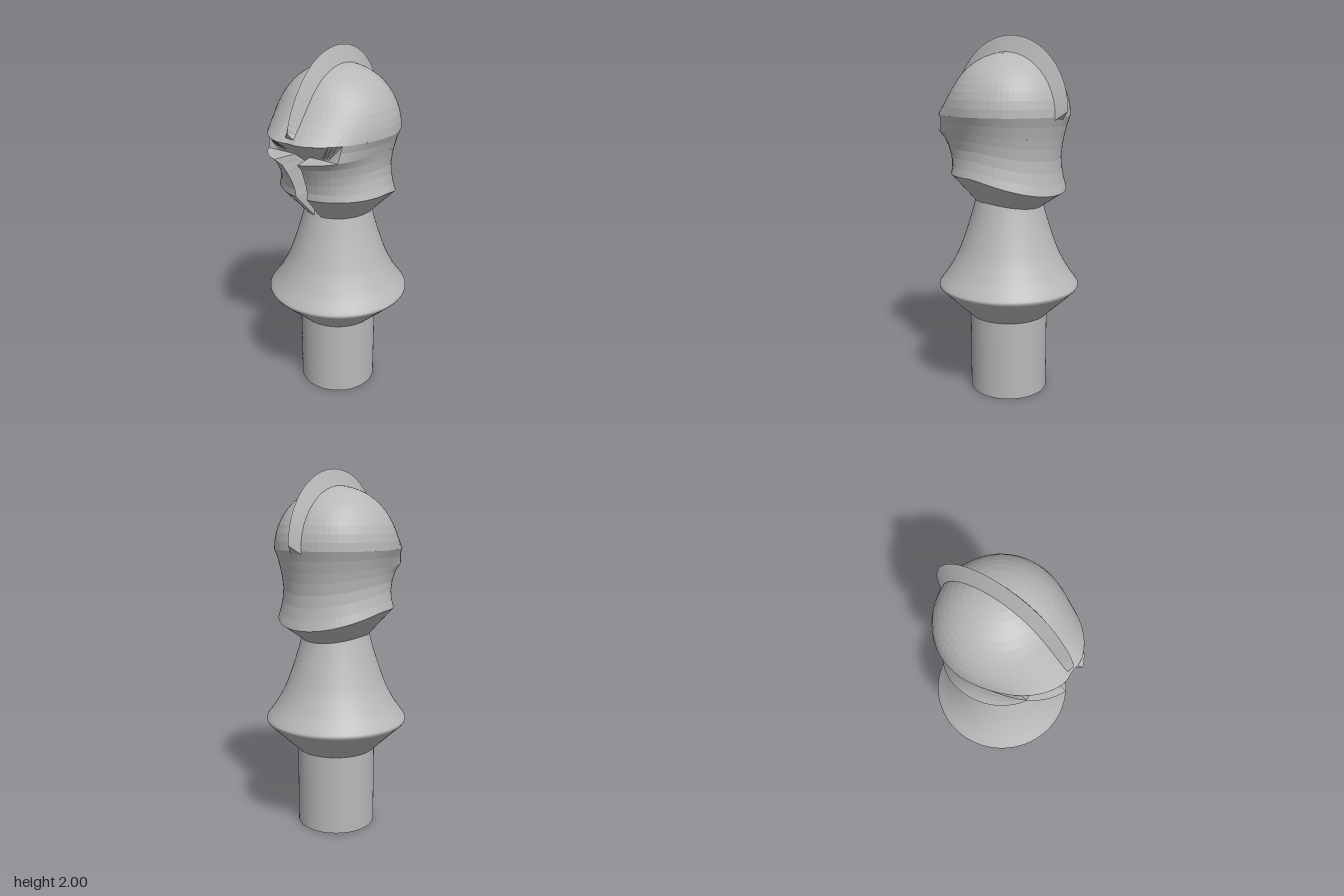
import * as THREE from 'three';

const CZ = -0.02; // z of the turning axis

// Surface from fn(u, v), u and v in 0..1; flat gives faceted shading
function grid(nu, nv, fn) {
  const pos = [], idx = [];
  for (let j = 0; j <= nv; j++)
    for (let i = 0; i <= nu; i++) pos.push(...fn(i / nu, j / nv, j));
  const w = nu + 1;
  for (let j = 0; j < nv; j++)
    for (let i = 0; i < nu; i++) {
      const a = j * w + i;
      idx.push(a, a + 1, a + w + 1, a, a + w + 1, a + w);
    }
  let g = new THREE.BufferGeometry();
  g.setAttribute('position', new THREE.Float32BufferAttribute(pos, 3));
  g.setIndex(idx);
  g = g.toNonIndexed();
  g.computeVertexNormals();
  return g;
}

const mix = (a, b, t) => a.map((p, i) => p + (b[i] - p) * t);
const deg = Math.PI / 180;

// Beak at the front of the helmet, with a shallow dip on the centre line
const beak = (a) => Math.max(0, Math.cos(a)) ** 3;
const dip = (a) => (Math.cos(a) > 0 ? 0.015 * Math.exp(-((Math.sin(a) / 0.1) ** 2)) : 0);

// Dome radius at elevation e and angle a from the front
function domeRadius(a, e) {
  const fade = Math.max(0, 1 - (0.335 * Math.sin(e)) / 0.2) ** 2;
  return 0.337 * Math.cos(e) + (0.095 * beak(a) - dip(a)) * fade;
}

// Face guard rows: y, radius, beak length, drop at the back,
// half width of the front gap (or null), depth of the recess
const ROWS = [
  [1.11, 0.185, 0, 0.035, 0.025, 0.16],
  [1.26, 0.32, 0.003, 0.095, 0.035, 0.168],
  [1.3, 0.306, 0.02, 0.083, 0.04, 0.17],
  [1.35, 0.294, 0.05, 0.068, 0.045, 0.171],
  [1.4, 0.29, 0.08, 0.053, 0.052, 0.172],
  [1.45, 0.296, 0.105, 0.039, 0.062, 0.235],
  [1.49, 0.305, 0.145, 0.027, 0.075, 0.286],
  [1.54, 0.32, 0.115, 0.012, null, 0],
  [1.58, 0.337, 0.095, 0, null, 0],
];
const SLIT_ENDS = [36 * deg, 38 * deg, 39.5 * deg]; // eye slit ends, rows 6 to 8

function guard(row, a) {
  const [y, r, b, drop] = ROWS[row];
  const R = r + b * beak(a) - (row === 8 ? dip(a) : 0);
  const back = Math.max(0, -Math.cos(a)) ** 1.3;
  return [R * Math.sin(a), y - drop * back, CZ + R * Math.cos(a)];
}
const gapAngle = (row) => Math.asin(ROWS[row][4] / (ROWS[row][1] + ROWS[row][2]));
const innerX = (row) => ROWS[row][4] * 0.65;
const around = (start, u) => start + u * (2 * Math.PI - 2 * start);

export function createModel() {
  const model = new THREE.Group();
  const grey = new THREE.MeshStandardMaterial({ color: 0xb8b8b8, side: THREE.DoubleSide });
  grey.name = 'grey';
  const add = (name, geometry, parent = model) => {
    const m = new THREE.Mesh(geometry, grey);
    m.name = name;
    parent.add(m);
    return m;
  };

  // Peg
  add('peg', new THREE.CylinderGeometry(0.22, 0.22, 0.45, 64)).position.set(0, 0.225, CZ);

  // Flared body
  const curve = new THREE.SplineCurve(
    [[0.388, 0.608], [0.397, 0.625], [0.388, 0.645], [0.34, 0.712], [0.287, 0.81], [0.245, 0.92],
      [0.21, 1.03], [0.186, 1.12]].map(([x, y]) => new THREE.Vector2(x, y)));
  const profile = [new THREE.Vector2(0.22, 0.45), new THREE.Vector2(0.3, 0.525), ...curve.getPoints(28)];
  add('flaredBody', new THREE.LatheGeometry(profile, 64)).position.z = CZ;
  const under = add('bodyUnderside', new THREE.CircleGeometry(0.22, 64));
  under.rotation.x = Math.PI / 2;
  under.position.set(0, 0.45, CZ);

  const helmet = new THREE.Group();
  helmet.name = 'helmet';
  model.add(helmet);

  // Dome with a pointed brow
  add('dome', grid(64, 12, (u, v) => {
    const a = u * 2 * Math.PI, e = v * Math.PI / 2, r = domeRadius(a, e);
    return [r * Math.sin(a), 1.58 + 0.335 * Math.sin(e), CZ + r * Math.cos(a)];
  }), helmet);

  // Band beside the eye slit, then the cheeks and collar split by the front gap
  add('slitBand', grid(56, 2, (u, v, j) => guard(6 + j, around(SLIT_ENDS[j], u))), helmet);
  add('cheeksAndCollar', grid(64, 6, (u, v, j) => guard(j, around(gapAngle(j), u))), helmet);

  // Sloping ceiling of the eye slit
  add('slitCeiling', grid(24, 1, (u, v) => {
    const s = u * 2 - 1;
    return v ? guard(8, s * SLIT_ENDS[2]) : [s * 0.175, 1.49, 0.286];
  }), helmet);

  // Recess behind the front gap
  add('recess', grid(2, 6, (u, v, j) => [(u * 2 - 1) * innerX(j), ROWS[j][0], ROWS[j][5]]), helmet);

  for (const s of [1, -1]) {
    const side = s > 0 ? 'left' : 'right';
    // Floor of the eye slit
    add(side + 'SlitFloor', grid(10, 1, (u, v) => {
      const t = s > 0 ? u : 1 - u;
      const p = v
        ? [innerX(6) + t * (0.175 - innerX(6)), 1.49, 0.286]
        : guard(6, gapAngle(6) + t * (SLIT_ENDS[0] - gapAngle(6)));
      return [s * p[0], p[1], p[2]];
    }), helmet);
    // End of the eye slit
    add(side + 'SlitEnd', grid(1, 2, (u, v, j) => {
      const outer = guard(6 + j, SLIT_ENDS[j]);
      const inner = mix([0.175, 1.49, 0.286], guard(8, SLIT_ENDS[2]), v);
      const p = (s > 0) === (u > 0) ? outer : inner;
      return [s * p[0], p[1], p[2]];
    }), helmet);
    // Wall of the front gap
    add(side + 'GapWall', grid(1, 6, (u, v, j) => {
      const p = (s > 0) === (u > 0) ? guard(j, gapAngle(j)) : [innerX(j), ROWS[j][0], ROWS[j][5]];
      return [s * p[0], p[1], p[2]];
    }), helmet);
  }

  // Crest: a sharp ridge running over the dome from brow to back
  const crestPoint = (k, t) => {
    const a = (3 + 177 * t) * deg;
    if (k === 0) {
      const r = 0.39 + 0.03 * Math.max(0, Math.cos(a)) ** 12;
      return [0, 1.61 + 0.39 * Math.sin(a), CZ + r * Math.cos(a)];
    }
    const front = a < Math.PI / 2;
    const r = domeRadius(front ? 0 : Math.PI, front ? a : Math.PI - a) - 0.002;
    const low = 0.015 * Math.max(0, -Math.cos(a)) ** 8;
    return [k * (0.028 + 0.008 * Math.min(1, t * 4)), 1.58 - low + 0.333 * Math.sin(a),
      CZ + (front ? r : -r)];
  };
  add('crest', grid(2, 40, (u, v) => crestPoint(Math.round(u * 2) - 1, v)), helmet);
  for (const t of [0, 1]) {
    add(t ? 'crestBackEnd' : 'crestFrontEnd', grid(1, 1, (u, v) =>
      crestPoint(v ? 0 : (u * 2 - 1) * (t ? -1 : 1), t)), helmet);
  }

  return model;
}
